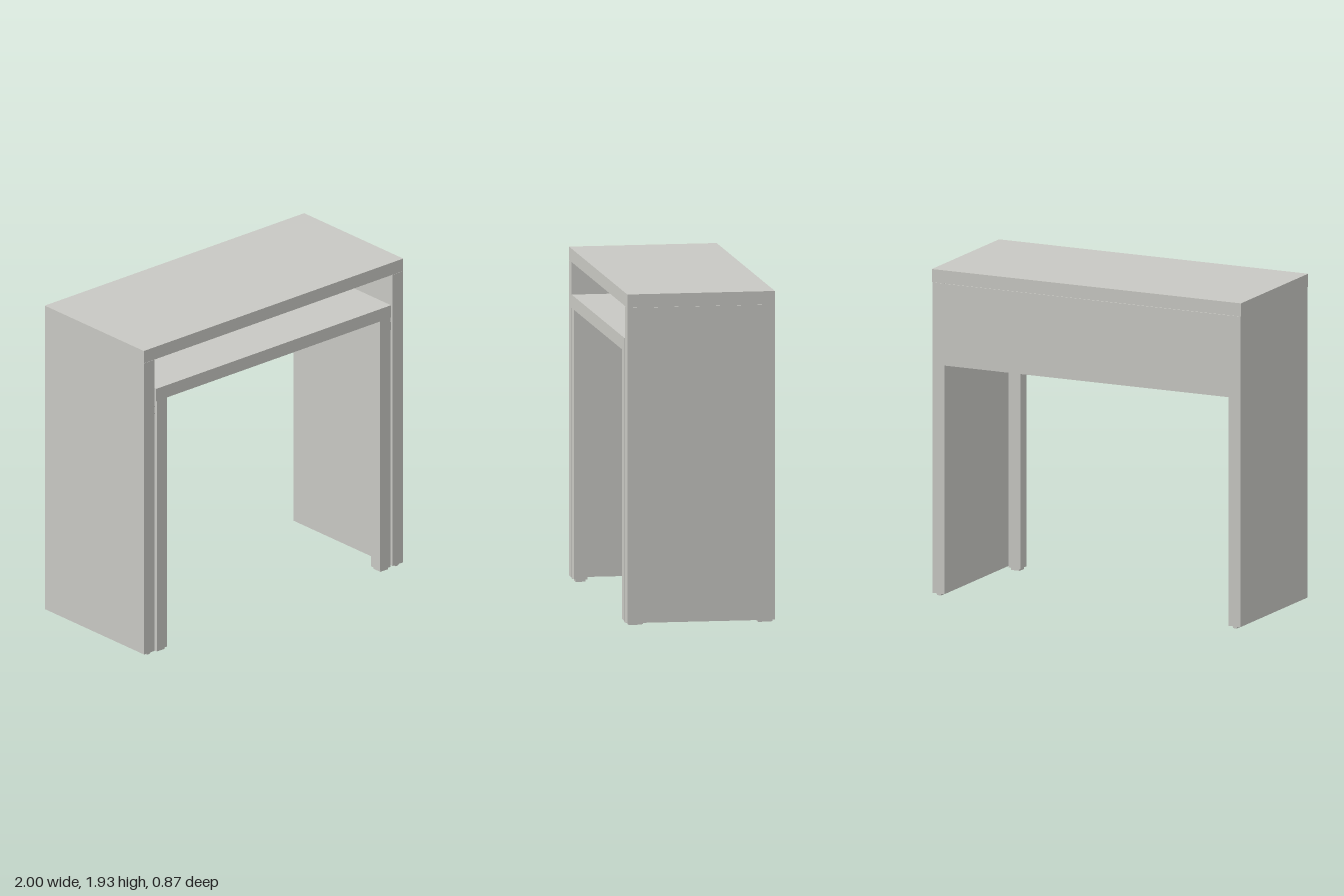
import * as THREE from 'three';

export function createModel() {
  const model = new THREE.Group();
  const panel = new THREE.MeshStandardMaterial({ color: 0xc8c8c3 });
  panel.name = 'warm light grey';

  // Box given by its lower and upper limits on each axis
  function slab(name, [x0, x1], [y0, y1], [z0, z1], parent = model) {
    const mesh = new THREE.Mesh(new THREE.BoxGeometry(x1 - x0, y1 - y0, z1 - z0), panel);
    mesh.position.set((x0 + x1) / 2, (y0 + y1) / 2, (z0 + z1) / 2);
    mesh.name = name;
    parent.add(mesh);
    return mesh;
  }

  // Fixed desk: top and back panel
  slab('desktop', [-1, 1], [1.857, 1.935], [-0.433, 0.433]);
  slab('backPanel', [-0.918, 0.918], [1.37, 1.855], [-0.431, -0.393]);

  // Pull-out desk, carried on two front legs
  const pullOut = new THREE.Group();
  pullOut.name = 'pullOutDesk';
  model.add(pullOut);
  slab('pullOutTop', [-0.905, 0.905], [1.59, 1.668], [-0.385, 0.434], pullOut);

  for (const [side, s] of [['left', 1], ['right', -1]]) {
    const span = (a, b) => (s > 0 ? [a, b] : [-b, -a]);

    // Side panel with a foot near each end
    slab(side + 'SidePanel', span(0.918, 0.997), [0.015, 1.856], [-0.433, 0.433]);
    for (const [end, z] of [['Front', 0.38], ['Back', -0.38]]) {
      slab(side + end + 'Foot', span(0.945, 0.97), [0.004, 0.016], [z - 0.045, z + 0.045]);
      slab(side + end + 'FootPad', span(0.95, 0.965), [0, 0.005], [z - 0.04, z + 0.04]);
    }

    // Square leg of the pull-out desk and its foot
    slab(side + 'PullOutLeg', span(0.822, 0.9), [0.015, 1.591], [0.355, 0.433], pullOut);
    slab(side + 'PullOutFoot', span(0.832, 0.89), [0, 0.016], [0.365, 0.423], pullOut);

    // Thin corner bracket holding the leg to the pull-out top
    slab(side + 'LegBracketSide', span(0.765, 0.824), [1.583, 1.591], [0.36, 0.42], pullOut);
    slab(side + 'LegBracketBack', span(0.765, 0.9), [1.583, 1.591], [0.3, 0.36], pullOut);

    // Slide rail: a thin web with two lips, and screws along it
    slab(side + 'RailWeb', span(0.913, 0.919), [1.505, 1.555], [-0.385, 0.42]);
    for (const y of [1.505, 1.549]) {
      slab(side + 'RailLip', span(0.904, 0.915), [y, y + 0.006], [-0.385, 0.42]);
    }
    for (const z of [-0.3, -0.1, 0.1, 0.3]) {
      const screw = new THREE.Mesh(new THREE.CylinderGeometry(0.008, 0.008, 0.005, 12), panel);
      screw.name = side + 'RailScrew';
      screw.rotation.z = Math.PI / 2;
      screw.position.set(s * 0.911, 1.53, z);
      model.add(screw);
    }

    // Small fixing on the inner face of the back panel
    const fixing = new THREE.Mesh(new THREE.CylinderGeometry(0.012, 0.012, 0.01, 12), panel);
    fixing.name = side + 'BackPanelFixing';
    fixing.rotation.x = Math.PI / 2;
    fixing.position.set(s * 0.84, 1.795, -0.39);
    model.add(fixing);
  }
  return model;
}
